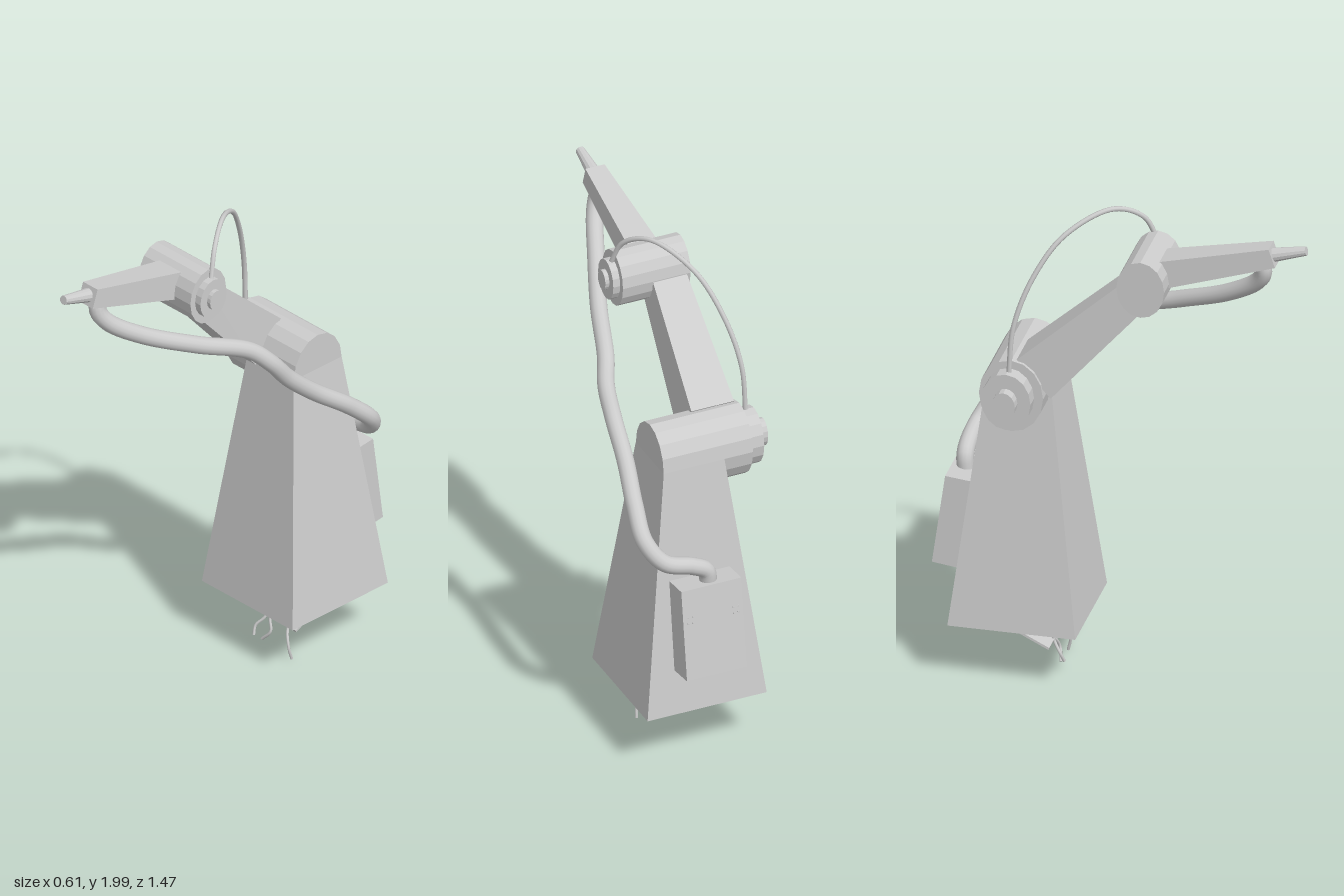
import * as THREE from 'three';
import { ConvexGeometry } from 'three/addons/geometries/ConvexGeometry.js';

const flat = new THREE.MeshStandardMaterial({ color: 0xcccccc, flatShading: true });
const smooth = new THREE.MeshStandardMaterial({ color: 0xcccccc });
const V = (x, y, z) => new THREE.Vector3(x, y, z);

export function createModel() {
  const root = new THREE.Group();

  const add = (name, geometry, material = flat) => {
    const mesh = new THREE.Mesh(geometry, material);
    mesh.name = name;
    root.add(mesh);
    return mesh;
  };

  // Solid spanning two rectangular ends, each given as [x0, x1, [y, z], [y, z]]
  const block = (name, ...ends) => {
    const points = [];
    for (const [x0, x1, a, b] of ends)
      for (const x of [x0, x1]) points.push(V(x, ...a), V(x, ...b));
    return add(name, new ConvexGeometry(points));
  };

  // Oval drum lying along x
  const drum = (name, x0, x1, y, z, ry, rz) => {
    const g = new THREE.CylinderGeometry(1, 1, x1 - x0, 16);
    g.rotateZ(Math.PI / 2).scale(1, ry, rz).translate((x0 + x1) / 2, y, z);
    return add(name, g);
  };

  // Round cable through a list of points, closed at both ends
  const cable = (name, radius, sides, steps, points) => {
    const curve = new THREE.CatmullRomCurve3(points.map(p => V(...p)));
    add(name, new THREE.TubeGeometry(curve, steps, radius, sides), smooth);
    [0, 1].forEach(t => {
      const cap = add(name + 'End', new THREE.CircleGeometry(radius, sides));
      const p = curve.getPoint(t);
      cap.position.copy(p);
      cap.lookAt(p.clone().addScaledVector(curve.getTangent(t), t ? 1 : -1));
    });
  };

  // Tapered pedestal
  block('pedestal',
    [-0.21, 0.29, [0.24, -0.14], [0.24, -0.642]],
    [-0.09, 0.165, [1.25, -0.265], [1.25, -0.518]]);

  // Shoulder joint with stepped hub
  drum('shoulderDrum', -0.21, 0.165, 1.25, -0.392, 0.15, 0.126);
  drum('shoulderDisc', -0.268, -0.21, 1.25, -0.398, 0.118, 0.097);
  drum('shoulderHub', -0.308, -0.268, 1.25, -0.398, 0.058, 0.046);

  // Upper arm, narrowing toward the elbow
  block('upperArm',
    [-0.197, -0.018, [1.4, -0.373], [1.25, -0.24]],
    [-0.18, -0.04, [1.775, 0.045], [1.66, 0.12]]);

  // Elbow joint with stepped hub
  drum('elbowDrum', -0.196, 0.088, 1.755, 0.112, 0.117, 0.094);
  drum('elbowDisc', 0.088, 0.117, 1.755, 0.112, 0.084, 0.069);
  drum('elbowHub', 0.117, 0.134, 1.755, 0.112, 0.042, 0.034);

  // Forearm and nozzle
  block('forearm',
    [-0.12, 0, [1.845, 0.165], [1.735, 0.192]],
    [-0.1, -0.02, [1.94, 0.592], [1.865, 0.617]]);
  const from = V(-0.062, 1.901, 0.6), to = V(-0.062, 1.934, 0.732);
  const axis = to.clone().sub(from);
  const nozzle = add('nozzle', new THREE.CylinderGeometry(0.018, 0.028, axis.length(), 12));
  nozzle.position.copy(from).add(to).multiplyScalar(0.5);
  nozzle.quaternion.setFromUnitVectors(V(0, 1, 0), axis.normalize());

  // Control box on the back of the pedestal
  block('controlBox',
    [-0.085, 0.167, [0.8, -0.573], [0.812, -0.682]],
    [-0.085, 0.167, [0.425, -0.62], [0.44, -0.734]]);

  // Small studs on the box's rear face
  for (const side of [-1, 1])
    for (let i = 0; i < 2; i++)
      for (let j = 0; j < 2; j++) {
        const y = 0.70 - j * 0.025;
        const stud = add('boxStud', new THREE.BoxGeometry(0.006, 0.006, 0.006));
        stud.position.set(0.041 + side * (0.085 + i * 0.02), y, -0.682 - (0.812 - y) * 0.14);
      }

  // Hatch flap hanging open beneath the pedestal
  block('hatchFlap',
    [-0.085, 0.167, [0.244, -0.51], [0.234, -0.51]],
    [-0.085, 0.167, [0.128, -0.273], [0.119, -0.276]]);

  // Heavy hose from the control box to the forearm tip
  cable('hose', 0.034, 14, 120, [
    [-0.062, 1.88, 0.545], [-0.052, 1.82, 0.56], [-0.03, 1.765, 0.53],
    [0.025, 1.675, 0.4], [0.11, 1.58, 0.19], [0.178, 1.495, -0.02],
    [0.213, 1.42, -0.1], [0.22, 1.325, -0.18], [0.23, 1.21, -0.31],
    [0.26, 1.1, -0.46], [0.268, 1.0, -0.57], [0.21, 0.92, -0.622],
    [0.1, 0.885, -0.634], [0.04, 0.85, -0.634], [0.03, 0.79, -0.63]]);

  // Thin cable arching from shoulder to elbow
  cable('archCable', 0.01, 8, 64, [
    [-0.236, 1.34, -0.395], [-0.226, 1.555, -0.378], [-0.18, 1.755, -0.31],
    [-0.11, 1.91, -0.205], [-0.002, 1.988, -0.045], [0.068, 1.935, 0.06],
    [0.1, 1.82, 0.11]]);

  // Loose wires under the pedestal
  const wires = [
    [[-0.032, 0.25, -0.3], [-0.022, 0.18, -0.285], [0, 0.12, -0.275],
      [-0.024, 0.08, -0.245], [-0.018, 0.045, -0.23]],
    [[0.058, 0.25, -0.345], [0.053, 0.18, -0.325], [0.022, 0.125, -0.28],
      [0.042, 0.075, -0.262], [0.006, 0.03, -0.25]],
    [[0.143, 0.25, -0.385], [0.148, 0.18, -0.355], [0.118, 0.125, -0.285],
      [0.152, 0.06, -0.25], [0.16, 0.004, -0.26]]];
  wires.forEach(points => cable('looseWire', 0.006, 6, 24, points));

  return root;
}
